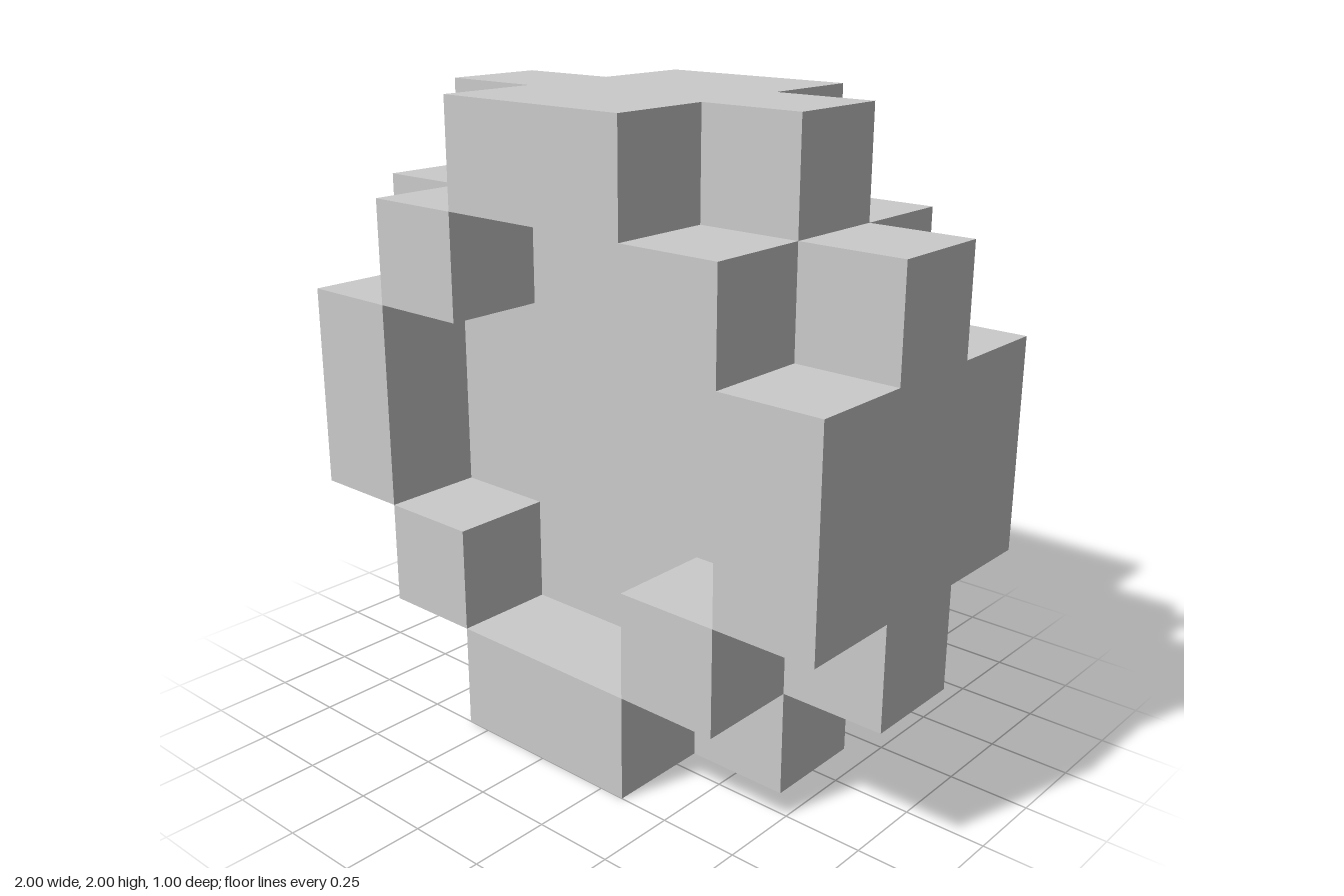
import * as THREE from 'three';

const U = 1 / 3; // edge of one block

export function createModel() {
  const model = new THREE.Group();
  model.name = 'blockWheel';
  const material = new THREE.MeshStandardMaterial({ color: 0xcccccc, flatShading: true });

  const add = (name, geometry, x, y, z, parent = model) => {
    const mesh = new THREE.Mesh(geometry, material);
    mesh.name = name;
    mesh.position.set(x, y, z);
    parent.add(mesh);
  };

  // Middle layer: a square plate six blocks wide with its corner blocks notched out
  const quarter = [[3, 2], [2, 2], [2, 3]];
  const outline = [];
  for (const [sx, sy] of [[1, 1], [-1, 1], [-1, -1], [1, -1]]) {
    const corner = sx * sy > 0 ? quarter : [...quarter].reverse();
    for (const [x, y] of corner) outline.push(new THREE.Vector2(sx * x * U, sy * y * U));
  }
  const plate = new THREE.ExtrudeGeometry(new THREE.Shape(outline), { depth: U, bevelEnabled: false });
  add('middlePlate', plate, 0, 1, -U / 2);

  // Raised rim on the front and back: four bars and four corner blocks
  const flatBar = new THREE.BoxGeometry(2 * U, U, U);
  const uprightBar = new THREE.BoxGeometry(U, 2 * U, U);
  const block = new THREE.BoxGeometry(U, U, U);
  for (const side of [1, -1]) {
    const rim = new THREE.Group();
    rim.name = side > 0 ? 'frontRim' : 'backRim';
    rim.position.set(0, 1, side * U);
    for (const s of [1, -1]) {
      add(s > 0 ? 'topBar' : 'bottomBar', flatBar, 0, s * 2.5 * U, 0, rim);
      add(s > 0 ? 'leftBar' : 'rightBar', uprightBar, s * 2.5 * U, 0, 0, rim);
      for (const t of [1, -1]) add('cornerBlock', block, s * 1.5 * U, t * 1.5 * U, 0, rim);
    }
    model.add(rim);
  }
  return model;
}
